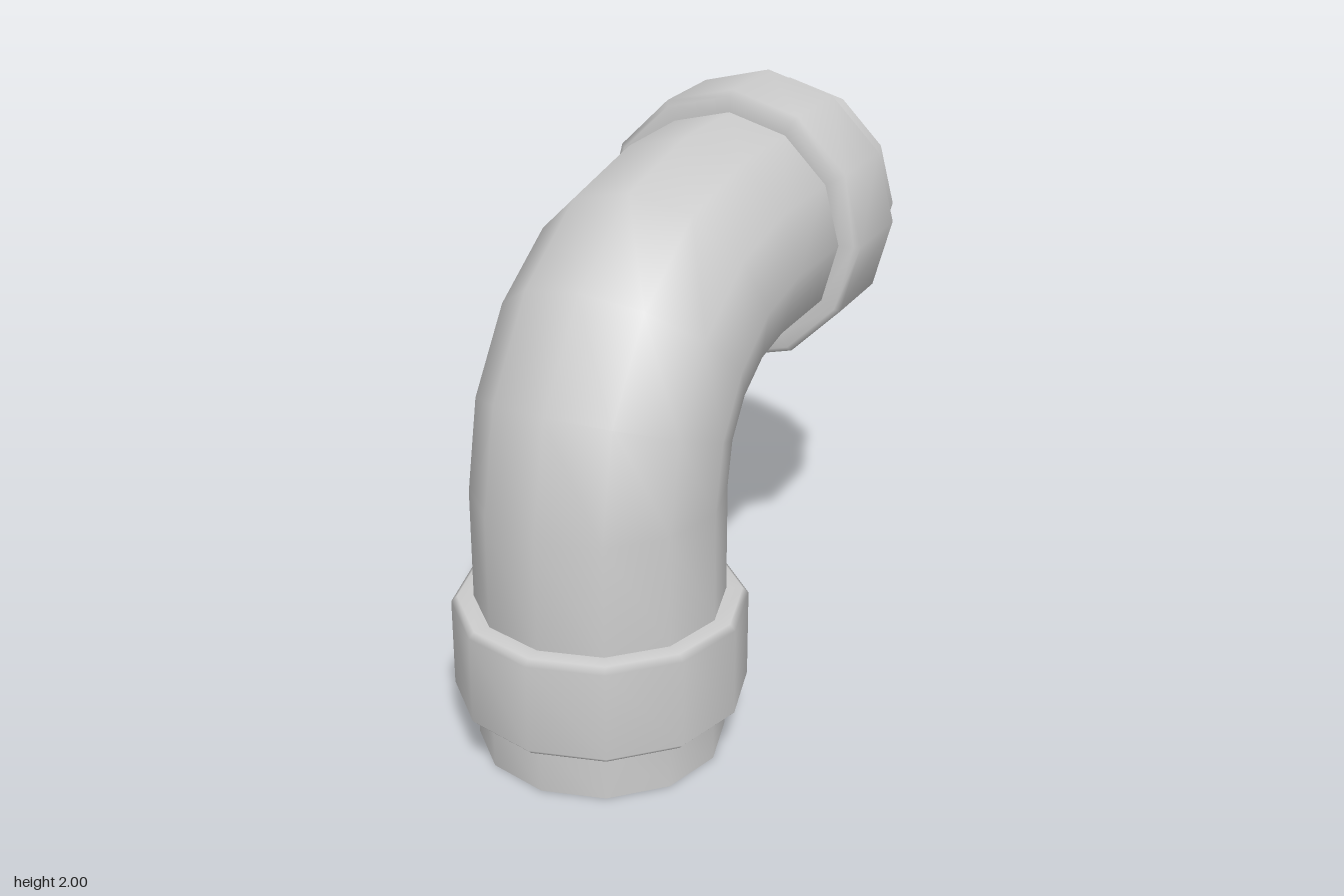
import * as THREE from 'three';

const SIDES = 12;
const PIPE_R = 0.42;
const COLLAR_R = 0.495;
const AXIS = 0.505;              // axis of the standing leg (z)
const BEND = { y: 0.915, z: -0.125, ry: 0.59, rz: 0.63 };

const material = new THREE.MeshStandardMaterial({ color: 0xcccccc, side: THREE.DoubleSide });

// Skin a row of rings; each ring is { y, z, a (turn of the path), r }
function skin(name, rings) {
  const pos = [], index = [];
  for (const { y, z, a, r } of rings) {
    for (let j = 0; j < SIDES; j++) {
      const t = (j / SIDES) * Math.PI * 2;
      const out = r * Math.sin(t);
      pos.push(r * Math.cos(t), y + out * Math.sin(a), z + out * Math.cos(a));
    }
  }
  for (let i = 0; i < rings.length - 1; i++) {
    for (let j = 0; j < SIDES; j++) {
      const k = (j + 1) % SIDES;
      const p = i * SIDES + j, q = p + SIDES, s = (i + 1) * SIDES + k, u = i * SIDES + k;
      index.push(p, q, s, p, s, u);
    }
  }
  const geo = new THREE.BufferGeometry();
  geo.setAttribute('position', new THREE.Float32BufferAttribute(pos, 3));
  geo.setIndex(index);
  geo.computeVertexNormals();
  const mesh = new THREE.Mesh(geo, material);
  mesh.name = name;
  return mesh;
}

// Rings on the two straight legs, given the distance from the open end
const onLower = ([d, r]) => ({ y: d, z: AXIS, a: 0, r });
const onUpper = ([d, r]) => ({ y: BEND.y + BEND.ry, z: -1 + d, a: Math.PI / 2, r });

export function createModel() {
  const group = new THREE.Group();
  group.name = 'pipeElbow';

  // Open spigot and hollow, chamfered collar at each end
  const spigot = [[0, PIPE_R], [0.18, PIPE_R]];
  const collar = [
    [0.18, PIPE_R], [0.18, COLLAR_R - 0.02], [0.2, COLLAR_R],
    [0.51, COLLAR_R], [0.53, COLLAR_R - 0.02], [0.53, PIPE_R],
  ];
  group.add(
    skin('lowerSpigot', spigot.map(onLower)),
    skin('lowerCollar', collar.map(onLower)),
    skin('upperSpigot', spigot.map(onUpper).reverse()),
    skin('upperCollar', collar.map(onUpper).reverse()),
  );

  // Pipe between the collars: straight, quarter bend, straight
  const rings = [onLower([0.53, PIPE_R])];
  for (let i = 0; i <= 4; i++) {
    const a = (i / 4) * Math.PI / 2;
    rings.push({
      y: BEND.y + BEND.ry * Math.sin(a),
      z: BEND.z + BEND.rz * Math.cos(a),
      a, r: PIPE_R,
    });
  }
  rings.push(onUpper([0.53, PIPE_R]));
  group.add(skin('elbowPipe', rings));

  return group;
}
